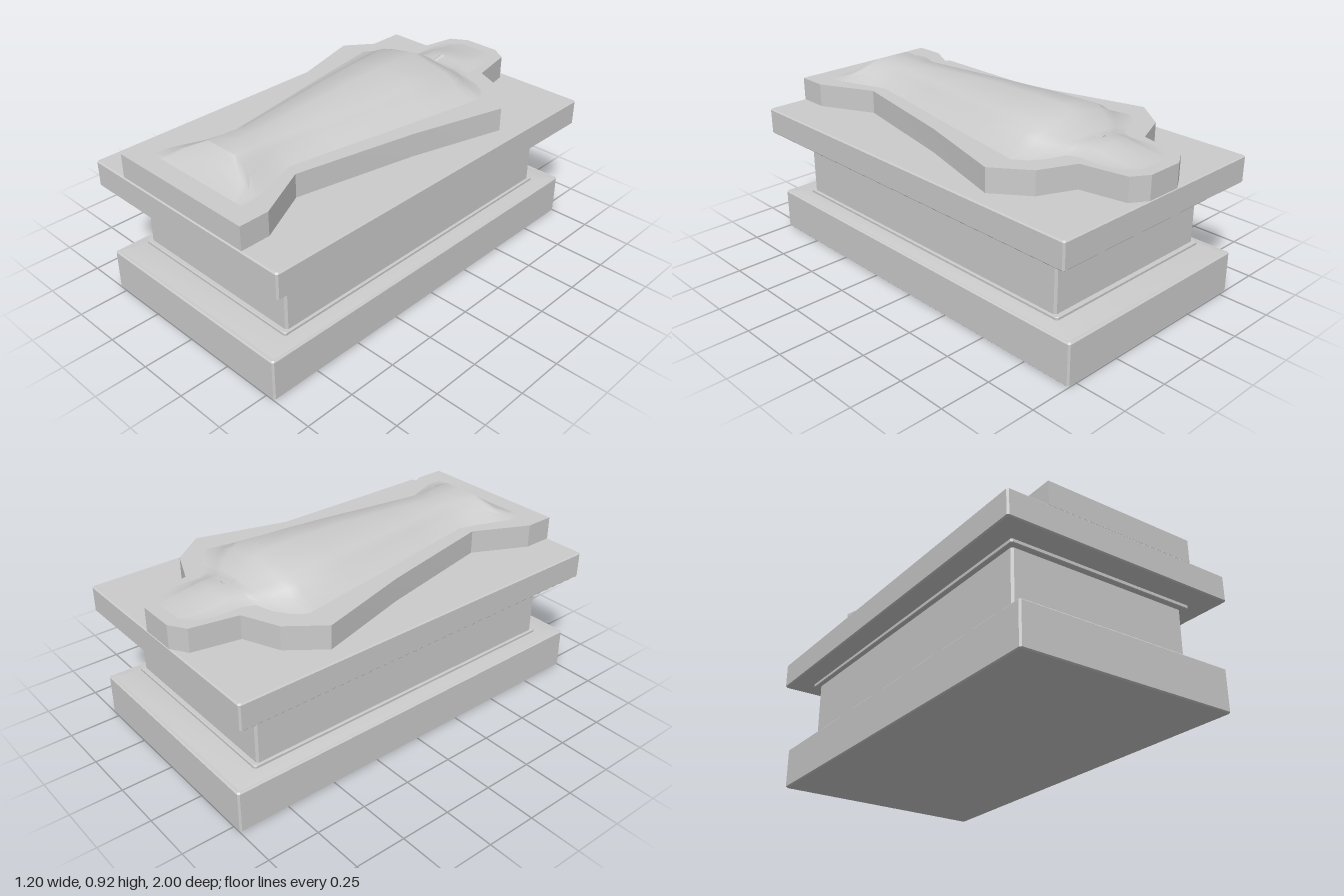
import * as THREE from 'three';
import { toCreasedNormals } from 'three/addons/utils/BufferGeometryUtils.js';

const stone = new THREE.MeshStandardMaterial({ color: 0xcccccc, side: THREE.DoubleSide });
const LID_BOTTOM = 0.675, LID_TOP = 0.79;

function part(name, geometry, crease = 0.5) {
  const mesh = new THREE.Mesh(toCreasedNormals(geometry, crease), stone);
  mesh.name = name;
  return mesh;
}

function indexed(positions, index) {
  const g = new THREE.BufferGeometry();
  g.setAttribute('position', new THREE.Float32BufferAttribute(positions, 3));
  g.setIndex(index);
  return g;
}

// Closed stack of rectangles with clipped corners; rings are [halfX, halfZ, y] from bottom to top
function stack(rings, clip = 0.008) {
  const pos = [], idx = [], n = 8;
  for (const [x, z, y] of rings) {
    const c = clip;
    for (const [px, pz] of [[x, z - c], [x, c - z], [x - c, -z], [c - x, -z],
      [-x, c - z], [-x, z - c], [c - x, z], [x - c, z]]) pos.push(px, y, pz);
  }
  for (let i = 0; i < rings.length - 1; i++) {
    for (let j = 0; j < n; j++) {
      const a = i * n + j, b = i * n + (j + 1) % n;
      idx.push(a, b, b + n, a, b + n, a + n);
    }
  }
  const top = (rings.length - 1) * n;
  for (let j = 1; j < n - 1; j++) {
    idx.push(0, j + 1, j);
    idx.push(top, top + j, top + j + 1);
  }
  return indexed(pos, idx);
}

// Slab with a thin bevel on its top and bottom edges
const slab = (x, z, y0, y1, b = 0.006) =>
  stack([[x - b, z - b, y0], [x, z, y0 + b], [x, z, y1 - b], [x - b, z - b, y1]]);

// Outline of one half of the coffin lid as [x, z], head to foot
const outline = [[0.09, -1], [0.17, -0.95], [0.215, -0.725], [0.39, -0.65], [0.515, -0.485],
  [0.385, -0.015], [0.262, 0.585], [0.392, 0.85], [0.392, 0.995]];

function coffinSlab() {
  const mirrored = outline.map(([x, z]) => [-x, z]).reverse();
  const shape = new THREE.Shape([...outline, ...mirrored].map(([x, z]) => new THREE.Vector2(x, -z)));
  const g = new THREE.ExtrudeGeometry(shape, { depth: LID_TOP - LID_BOTTOM, bevelEnabled: false });
  return g.rotateX(-Math.PI / 2).translate(0, LID_BOTTOM, 0);
}

// Reclining figure: [z, half width, half width of the crest, crest height, centre height]
const stations = [
  [-0.94, 0.09, 0.06, 0, 0], [-0.89, 0.14, 0.08, 0.006, 0.007], [-0.80, 0.165, 0.08, 0.018, 0.022],
  [-0.73, 0.165, 0.08, 0.032, 0.037], [-0.68, 0.165, 0.08, 0.034, 0.045], [-0.63, 0.19, 0.09, 0.028, 0.036],
  [-0.60, 0.28, 0.12, 0.03, 0.034], [-0.56, 0.34, 0.16, 0.048, 0.07], [-0.50, 0.385, 0.19, 0.075, 0.108],
  [-0.45, 0.375, 0.20, 0.09, 0.13], [-0.20, 0.335, 0.18, 0.09, 0.13], [0.0, 0.30, 0.16, 0.088, 0.127],
  [0.30, 0.245, 0.12, 0.085, 0.108], [0.56, 0.20, 0.085, 0.083, 0.092], [0.65, 0.225, 0.088, 0.086, 0.09],
  [0.755, 0.265, 0.09, 0.089, 0.09], [0.812, 0.285, 0.18, 0.038, 0.04], [0.86, 0.29, 0.2, 0.014, 0.016],
  [0.90, 0.29, 0.22, 0, 0]];

function figure() {
  const pos = [], idx = [], n = 9;
  for (const [z, w, c, hc, h] of stations) {
    const half = [[w, 0], [c + (w - c) * 0.5, hc * 0.33], [c + (w - c) * 0.28, hc * 0.72], [c, hc]];
    const row = [...half.map(([x, y]) => [-x, y]), [0, h], ...half.slice().reverse()];
    for (const [x, y] of row) pos.push(x, LID_TOP + 0.001 + y, z);
  }
  for (let i = 0; i < stations.length - 1; i++) {
    for (let j = 0; j < n - 1; j++) {
      const a = i * n + j, b = a + 1, c = a + n, d = c + 1;
      // mirror the diagonal so both sides match
      if (j < 4) idx.push(a, c, b, b, c, d);
      else idx.push(a, c, d, a, d, b);
    }
  }
  return indexed(pos, idx);
}

export function createModel() {
  const group = new THREE.Group();
  group.name = 'sarcophagusOnPlinth';
  // Plinth, from the ground up
  group.add(part('base', slab(0.55, 1, 0, 0.206)));
  group.add(part('baseSlope', stack([[0.545, 0.995, 0.204], [0.48, 0.88, 0.222]])));
  group.add(part('lowerMoulding', slab(0.48, 0.868, 0.218, 0.236, 0.003)));
  group.add(part('shaft', stack([[0.468, 0.847, 0.23], [0.468, 0.847, 0.54]], 0.01)));
  group.add(part('upperMoulding', slab(0.492, 0.877, 0.528, 0.55, 0.003)));
  group.add(part('tableSlab', slab(0.6, 1, 0.545, LID_BOTTOM)));
  // Coffin and the figure carved on it
  group.add(part('coffin', coffinSlab(), 0.2));
  group.add(part('recliningFigure', figure(), 0.6));
  // Small chin beard
  const beard = new THREE.CylinderGeometry(0.018, 0.01, 0.08, 6);
  beard.rotateX(-Math.PI / 2 + 0.12).translate(0, LID_TOP + 0.03, -0.635);
  group.add(part('chinBeard', beard, 0.8));
  return group;
}
